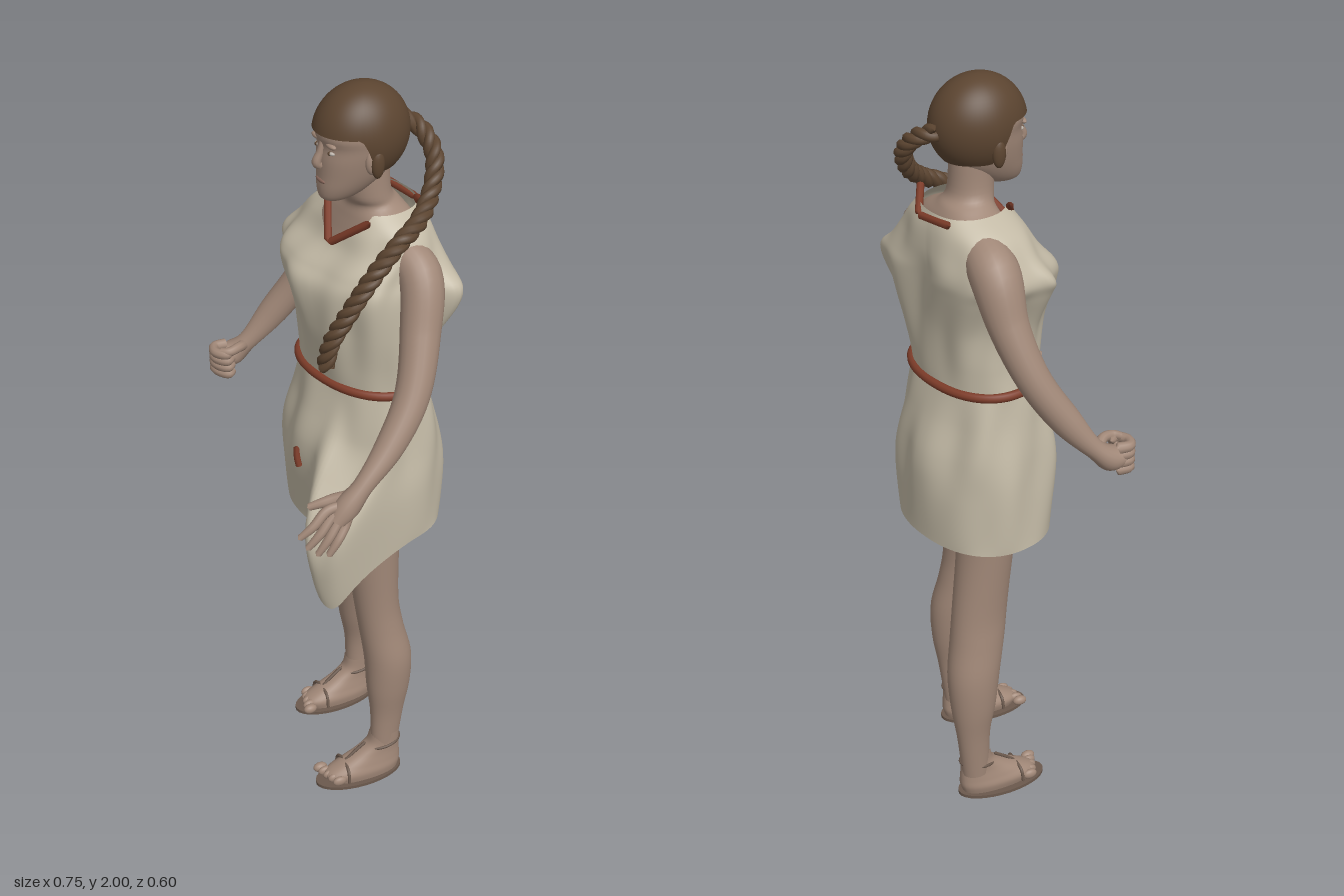
import * as THREE from 'three';

const mat = (name, color, side = THREE.FrontSide) => {
  const m = new THREE.MeshStandardMaterial({ color, side });
  m.name = name;
  return m;
};

// Catmull-Rom sampling of a table of rows at t in 0..1
function sample(rows, t) {
  const n = rows.length - 1, f = Math.min(t, 0.99999) * n, i = Math.floor(f), s = f - i;
  const [a, b, c, d] = [-1, 0, 1, 2].map(k => rows[Math.min(n, Math.max(0, i + k))]);
  return b.map((_, j) => b[j] + 0.5 * s * (c[j] - a[j] +
    s * (2 * a[j] - 5 * b[j] + 4 * c[j] - d[j] + s * (3 * (b[j] - c[j]) + d[j] - a[j]))));
}

// Surface closed around angle a (0 = front, positive towards +x), t runs bottom to top
function surface(nu, nv, f) {
  const pos = [], idx = [];
  for (let j = 0; j <= nv; j++)
    for (let i = 0; i < nu; i++) pos.push(...f(Math.PI * 2 * i / nu - Math.PI, j / nv));
  for (let j = 0; j < nv; j++)
    for (let i = 0; i < nu; i++) {
      const k = (i + 1) % nu, a = j * nu + i, b = j * nu + k;
      idx.push(a, b, b + nu, a, b + nu, a + nu);
    }
  const g = new THREE.BufferGeometry();
  g.setAttribute('position', new THREE.Float32BufferAttribute(pos, 3));
  g.setIndex(idx);
  g.computeVertexNormals();
  return g;
}

// Point on a horizontal section [y, x0, x1, z0, z1]
const bend = (v, p) => Math.sign(v) * Math.abs(v) ** p;
function onRing([y, x0, x1, z0, z1], a, p = 1, grow = 0) {
  return [(x0 + x1) / 2 + ((x1 - x0) / 2 + grow) * bend(Math.sin(a), p), y,
    (z0 + z1) / 2 + ((z1 - z0) / 2 + grow) * bend(Math.cos(a), p)];
}
const loft = (rows, p = 1, nu = 32, nv = 32) => surface(nu, nv, (a, t) => onRing(sample(rows, t), a, p));

// Tube through [x, y, z, radius] points, closed at both ends
function sweep(pts, sides = 14, perSpan = 7) {
  const curve = new THREE.CatmullRomCurve3(pts.map(p => new THREE.Vector3(p[0], p[1], p[2])));
  curve.getPointAt = curve.getPoint;
  curve.getTangentAt = curve.getTangent;
  const n = (pts.length - 1) * perSpan, g = new THREE.TubeGeometry(curve, n, 1, sides);
  const P = g.attributes.position, v = new THREE.Vector3();
  for (let k = 0; k < P.count; k++) {
    const i = Math.floor(k / (sides + 1)), t = i / n, c = curve.getPoint(t);
    const r = i === 0 || i === n ? 0 : sample(pts.map(p => [p[3]]), t)[0];
    v.fromBufferAttribute(P, k).sub(c).multiplyScalar(r).add(c);
    P.setXYZ(k, v.x, v.y, v.z);
  }
  return g;
}
const gauss = (v, c, w) => Math.exp(-(((v - c) / w) ** 2));
const withR = (pts, r) => pts.map(p => [...p, r]);

export function createModel() {
  const root = new THREE.Group();
  const skin = mat('skin', 0xa08777), hair = mat('hair', 0x5b4430, THREE.DoubleSide);
  const cloth = mat('cloth', 0xc2b9a5, THREE.DoubleSide), cord = mat('cord', 0x7d3c29);
  const leather = mat('leather', 0x6b594d), eyeWhite = mat('eye white', 0xb9b1a8);
  const lips = mat('lips', 0x8c6a5d);
  const add = (name, geo, m, parent = root) => {
    const mesh = new THREE.Mesh(geo, m);
    mesh.name = name;
    parent.add(mesh);
    return mesh;
  };
  const ball = (name, m, parent, p, s) => {
    const b = add(name, new THREE.SphereGeometry(1, 16, 12), m, parent);
    b.position.set(...p);
    b.scale.set(...s);
  };

  // Chest, shoulders and neck
  add('chestAndNeck', loft([[1.45, -.1, .2, -.2, -.03], [1.56, -.13, .23, -.22, -.04], [1.62, -.12, .22, -.22, -.055],
    [1.66, -.08, .18, -.21, -.065], [1.69, -.025, .125, -.195, -.07], [1.72, 0, .115, -.17, -.058], [1.8, .005, .11, -.165, -.05]]), skin);

  // Legs
  add('leftLeg', loft([[.07, .18, .242, -.105, -.022], [.2, .176, .25, -.122, -.022], [.3, .16, .264, -.138, -.012], [.4, .148, .268, -.14, -.008],
    [.5, .135, .25, -.122, 0], [.6, .122, .24, -.112, .01], [.8, .093, .24, -.118, .03], [.92, .08, .24, -.12, .03]]), skin);
  add('rightLeg', loft([[.07, -.103, -.037, -.265, -.185], [.2, -.11, -.033, -.28, -.185], [.3, -.122, -.014, -.292, -.165], [.4, -.125, .001, -.294, -.148],
    [.5, -.117, .01, -.278, -.125], [.6, -.112, .013, -.265, -.11], [.8, -.123, .024, -.24, -.09], [.92, -.13, .025, -.24, -.08]]), skin);

  // Feet with sandals
  for (const [side, x, z, s, turn] of [['left', .212, -.062, 1, -.32], ['right', -.068, -.222, -1, -.24]]) {
    const foot = new THREE.Group();
    foot.name = side + 'Foot';
    foot.position.set(x, 0, z);
    foot.rotation.y = turn;
    root.add(foot);
    add('foot', loft([[.008, -.04, .044, -.04, .165], [.03, -.044, .046, -.046, .17], [.052, -.038, .04, -.046, .135],
      [.078, -.032, .034, -.044, .085], [.105, -.031, .032, -.043, .048], [.14, -.031, .032, -.043, .038]], .85), skin, foot);
    for (let i = 0; i < 5; i++)
      ball('toe', skin, foot, [s * (i * .018 - .036), .024, .172 - i * .007], [i ? .01 : .013, .014, .02]);
    const sole = add('sandalSole', new THREE.CylinderGeometry(1, 1, .009, 32), leather, foot);
    sole.position.set(0, .0045, .073);
    sole.scale.set(.057, 1, .125);
    const strap = (pts) => add('sandalStrap', sweep(withR(pts, .0045), 8), leather, foot);
    strap([[-.046, .012, .12], [-.036, .048, .118], [0, .057, .115], [.036, .048, .118], [.048, .012, .12]]);
    strap([[0, .057, .115], [0, .08, .088], [0, .106, .052]]);
    const ankle = add('ankleStrap', new THREE.TorusGeometry(1, .1, 8, 28), leather, foot);
    ankle.rotation.x = Math.PI / 2 + .15;
    ankle.position.set(0, .1, .003);
    ankle.scale.set(.034, .048, .045);
  }

  // Arms
  add('rightArm', sweep([[-.05, 1.62, -.17, .05], [-.125, 1.585, -.19, .062], [-.175, 1.47, -.19, .05], [-.235, 1.34, -.162, .042],
    [-.285, 1.23, -.105, .038], [-.322, 1.145, -.045, .025], [-.34, 1.115, -.01, .033], [-.348, 1.105, .025, .022]], 20), skin);
  add('leftArm', sweep([[.15, 1.61, -.12, .045], [.238, 1.56, -.118, .054], [.288, 1.43, -.078, .049], [.327, 1.3, -.018, .043],
    [.338, 1.2, .06, .036], [.334, 1.12, .14, .025], [.327, 1.075, .185, .031], [.318, 1.035, .215, .02]], 20), skin);

  // Right fist, fingers curled around an open grip
  for (let i = 0; i < 4; i++) {
    const y = 1.14 - i * .02, k = 1 - i * .05;
    add('fistFinger', sweep([[-.35, y, .0, .015], [-.36, y, .035, .0135], [-.338, y, .05 * k, .013],
      [-.308, y, .036 * k, .0125], [-.316, y, .012, .011]], 10), skin);
  }
  add('fistThumb', sweep([[-.318, 1.14, -.03, .014], [-.304, 1.15, 0, .013], [-.306, 1.147, .03, .012], [-.325, 1.145, .045, .01]], 10), skin);

  // Open left hand
  const tips = [[.325, .953, .245], [.31, .957, .268], [.295, .977, .288], [.283, 1.01, .303]];
  tips.forEach(([x, y, z], i) => {
    const b = [.328 - i * .007, 1.032 + i * .014, .188 + i * .014];
    add('finger', sweep([[.328, 1.08, .175, .012], [...b, .013], [(b[0] + x) / 2 + .006, (b[1] + y) / 2, (b[2] + z) / 2 + .004, .0115], [x, y, z, .008]], 10), skin);
  });
  add('thumb', sweep([[.325, 1.1, .16, .013], [.295, 1.085, .195, .015], [.275, 1.075, .222, .012], [.253, 1.062, .248, .009]], 10), skin);

  // Tunic top: V neck in front, loose folds and sleeve points at the armholes
  const top = [[1.23, -.12, .235, -.235, .02], [1.3, -.115, .235, -.238, .03], [1.4, -.12, .238, -.243, .047], [1.5, -.16, .242, -.25, .058],
    [1.55, -.178, .24, -.25, .036], [1.6, -.155, .235, -.247, -.006], [1.65, -.115, .21, -.242, -.026], [1.69, -.05, .16, -.23, -.045]];
  add('tunicTop', surface(128, 60, (a, t) => {
    const u = t * (1 - .27 * Math.max(0, 1 - Math.abs(a) / .75));
    const mid = Math.sin(Math.PI * Math.min(1, u * 1.1));
    const fold = mid * (.005 * Math.sin(5 * a + 7 * u) + .004 * Math.sin(11 * a - 5 * u));
    const drape = .045 * gauss(a, 2.3, .4) * gauss(u, .47, .22) + .02 * gauss(a, -2.6, .4) * gauss(u, .6, .25);
    const points = .055 * gauss(a, 1.95, .2) * gauss(u, .42, .16) + .014 * gauss(a, -1.3, .15) * gauss(u, .55, .12);
    return onRing(sample(top, u), a, .9, fold + drape + points);
  }), cloth);

  // Tunic skirt with a long rounded flap at the left front
  const skirt = [[.8, -.16, .265, -.285, .045], [.95, -.155, .268, -.288, .068], [1.05, -.147, .26, -.28, .064],
    [1.15, -.132, .248, -.255, .038], [1.24, -.12, .235, -.235, .02]];
  add('tunicSkirt', surface(128, 44, (a, t) => {
    const s = 1 - t;
    const fold = s * t * 4 * (.005 * Math.sin(6 * a + 3 * t) + .005 * Math.sin(9 * a - 4 * t)) +
      .024 * gauss(a, .25, .15) * gauss(t, .55, .22);
    const [x, y, z] = onRing(sample(skirt, t), a, .88, fold);
    const w = Math.exp(-(((a - .72) / .5) ** 4));
    const lift = .14 * THREE.MathUtils.smoothstep(s, .3, .85) - .025 * s ** 6;
    return [x, y - .15 * gauss(a, .72, .4) * s ** 1.3, z + lift * w];
  }), cloth);

  // Belt with hanging end
  const beltCurve = new THREE.CatmullRomCurve3(Array.from({ length: 24 }, (_, i) => {
    const p = onRing(skirt[4], i / 24 * Math.PI * 2, .9, .004);
    return new THREE.Vector3(p[0], 1.24 + p[2] * .03, p[2]);
  }), true);
  add('belt', new THREE.TubeGeometry(beltCurve, 96, .0115, 10, true), cord);
  add('beltEnd', sweep(withR([[.005, 1.03, .066], [.012, 1.0, .071], [.02, .975, .071]], .009), 8), cord);

  // Neckline cord, front and back
  for (const [a, b] of [[[-.045, 1.7, -.078], [.042, 1.605, -.003]], [[.042, 1.605, -.003], [.15, 1.69, -.04]],
    [[-.015, 1.68, -.232], [.1, 1.67, -.236]], [[.1, 1.67, -.236], [.17, 1.71, -.175]]]) {
    const mid = a.map((v, i) => (v + b[i]) / 2);
    add('neckCord', sweep(withR([a, mid, b], .0095), 8), cord);
  }

  // Head, turned slightly to the right
  const head = new THREE.Group();
  head.name = 'head';
  head.position.set(.057, 0, -.09);
  head.rotation.y = -.2;
  root.add(head);
  add('face', loft([[1.72, -.012, .012, .06, .085], [1.73, -.033, .033, .015, .106], [1.755, -.052, .052, -.03, .112], [1.79, -.068, .068, -.07, .111],
    [1.83, -.079, .079, -.09, .11], [1.865, -.085, .085, -.1, .106], [1.9, -.087, .087, -.1, .112], [1.95, -.072, .072, -.085, .085],
    [1.98, -.03, .03, -.04, .04]], .95), skin, head);
  add('nose', sweep([[0, 1.88, .1, .008], [0, 1.85, .109, .009], [0, 1.825, .118, .012], [0, 1.815, .108, .011]], 12), skin, head);
  ball('mouth', lips, head, [0, 1.778, .107], [.021, .007, .007]);
  for (const s of [-1, 1]) {
    ball('eye', eyeWhite, head, [s * .03, 1.856, .094], [.012, .006, .0105]);
    ball('pupil', hair, head, [s * .03, 1.856, .1], [.005, .0055, .006]);
    ball('brow', skin, head, [s * .032, 1.876, .099], [.02, .007, .009]);
    ball('ear', skin, head, [s * .082, 1.835, .015], [.012, .032, .02]);
    ball('earLock', hair, head, [s * .092, 1.832, .008], [.012, .036, .017]);
  }

  // Cropped hair: straight high fringe, low at the nape
  add('hairCap', surface(64, 24, (a, t) => {
    const hem = 1.9 - .1 * THREE.MathUtils.smoothstep(Math.abs(a), 1.1, 1.6);
    const th = (1 - t) * Math.acos((hem - 1.88) / .12);
    return [.1 * Math.sin(th) * Math.sin(a), 1.88 + .12 * Math.cos(th), .121 * Math.sin(th) * Math.cos(a)];
  }), hair, head);

  // Long braid of three twisted strands
  const path = new THREE.CatmullRomCurve3([[.06, 1.885, -.205], [.11, 1.86, -.23], [.16, 1.81, -.23], [.195, 1.74, -.19], [.22, 1.69, -.125],
    [.224, 1.655, -.06], [.212, 1.59, .005], [.188, 1.5, .06], [.162, 1.42, .092], [.145, 1.345, .097]].map(p => new THREE.Vector3(...p)));
  const N = 110, frames = path.computeFrenetFrames(N);
  for (let s = 0; s < 3; s++) {
    const pts = Array.from({ length: N + 1 }, (_, i) => {
      const w = i * .42 + s * Math.PI * 2 / 3;
      const p = path.getPointAt(i / N).addScaledVector(frames.normals[i], .011 * Math.cos(w)).addScaledVector(frames.binormals[i], .011 * Math.sin(w));
      return [p.x, p.y, p.z, .0125];
    });
    add('braidStrand', sweep(pts, 8, 2), hair);
  }
  return root;
}
